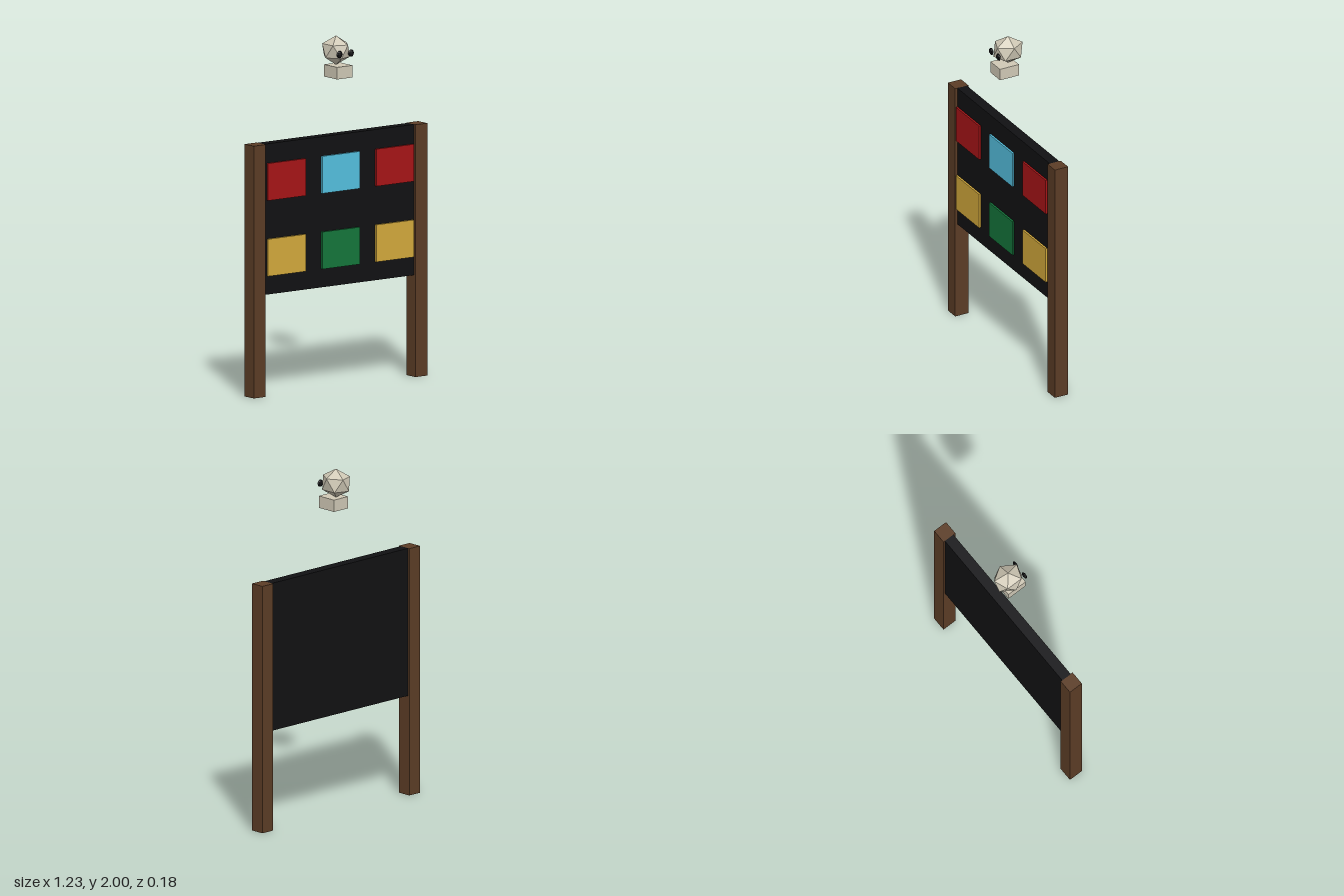
import * as THREE from 'three';

const mat = (color) => new THREE.MeshStandardMaterial({ color, flatShading: true });

function addMesh(group, name, geometry, material, x, y, z) {
  const mesh = new THREE.Mesh(geometry, material);
  mesh.name = name;
  mesh.position.set(x, y, z);
  group.add(mesh);
  return mesh;
}

// Twenty-sided ball standing on a vertex: two poles and two staggered rings of five
function poleIcosahedron() {
  const ring = (y, offset) => Array.from({ length: 5 }, (_, i) => {
    const a = offset + (i * Math.PI * 2) / 5;
    return [Math.cos(a) * 0.894, y, Math.sin(a) * 0.894];
  });
  const points = [[0, 1, 0], ...ring(0.447, 0), ...ring(-0.447, Math.PI / 5), [0, -1, 0]];
  const faces = [];
  for (let i = 0; i < 5; i++) {
    const j = (i + 1) % 5;
    faces.push(0, 1 + j, 1 + i);
    faces.push(1 + i, 1 + j, 6 + i);
    faces.push(6 + i, 1 + j, 6 + j);
    faces.push(11, 6 + i, 6 + j);
  }
  const indexed = new THREE.BufferGeometry();
  indexed.setAttribute('position', new THREE.Float32BufferAttribute(points.flat(), 3));
  indexed.setIndex(faces);
  const geometry = indexed.toNonIndexed();
  geometry.computeVertexNormals();
  return geometry;
}

export function createModel() {
  const model = new THREE.Group();
  model.name = 'noticeBoard';
  const wood = mat(0x5c3d26), black = mat(0x111113), bone = mat(0xd0c9b6);
  const red = mat(0xa81517), blue = mat(0x55c1e0), yellow = mat(0xd4aa3c), green = mat(0x14763b);

  // Posts and backing board
  const postGeometry = new THREE.BoxGeometry(0.084, 1.44, 0.085);
  for (const side of [-1, 1]) {
    addMesh(model, side > 0 ? 'leftPost' : 'rightPost', postGeometry, wood, side * 0.573, 0.72, -0.008);
  }
  addMesh(model, 'board', new THREE.BoxGeometry(1.066, 0.86, 0.061), black, 0, 1.01, -0.01);

  // Two rows of coloured notices, just proud of the board
  const notices = new THREE.Group();
  notices.name = 'notices';
  model.add(notices);
  const noticeGeometry = new THREE.BoxGeometry(0.267, 0.212, 0.012);
  const rows = [
    { y: 1.225, colors: [red, blue, red] },
    { y: 0.793, colors: [yellow, green, yellow] },
  ];
  for (const { y, colors } of rows) {
    colors.forEach((m, i) => addMesh(notices, 'notice', noticeGeometry, m, (i - 1) * 0.383, y, 0.033));
  }

  // Skull floating above the board
  const skull = new THREE.Group();
  skull.name = 'skull';
  model.add(skull);
  addMesh(skull, 'cranium', poleIcosahedron(), bone, 0, 1.917, -0.008).scale.set(0.083, 0.083, 0.095);
  addMesh(skull, 'jaw', new THREE.BoxGeometry(0.11, 0.069, 0.123), bone, 0, 1.801, 0.013);
  const eyeGeometry = new THREE.SphereGeometry(0.021, 8, 6);
  for (const side of [-1, 1]) {
    addMesh(skull, side > 0 ? 'leftEye' : 'rightEye', eyeGeometry, black, side * 0.041, 1.907, 0.077).scale.z = 0.45;
  }
  return model;
}
